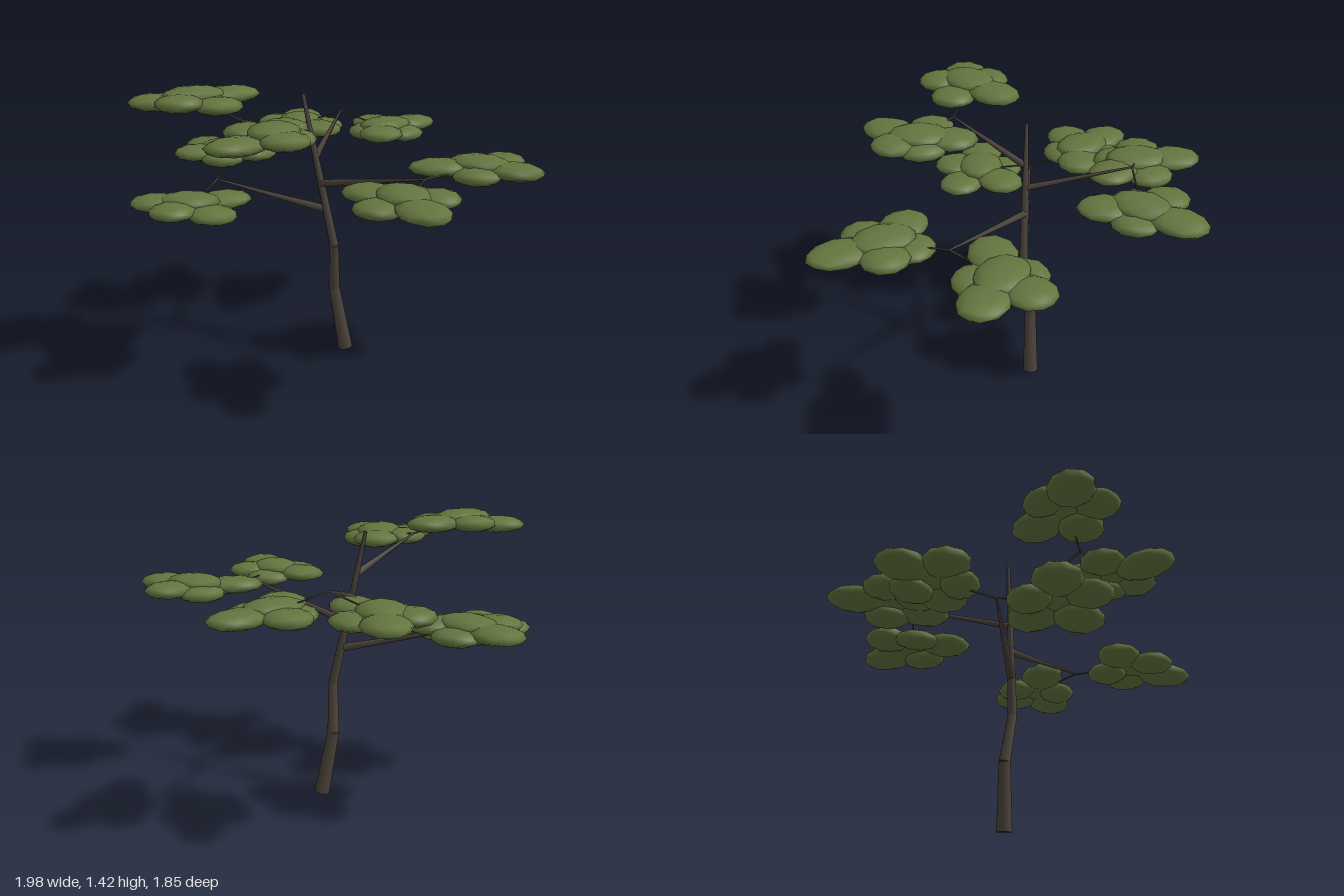
import * as THREE from 'three';

const bark = new THREE.MeshStandardMaterial({ color: 0x4b423a });
const leaf = new THREE.MeshStandardMaterial({ color: 0x64753f });
const clump = new THREE.IcosahedronGeometry(1, 1);
const UP = new THREE.Vector3(0, 1, 0);

// Tapered round limb between two points
function limb(name, a, b, r0, r1, sides = 8) {
  const from = new THREE.Vector3(...a), dir = new THREE.Vector3(...b).sub(from);
  const mesh = new THREE.Mesh(new THREE.CylinderGeometry(r1, r0, dir.length(), sides), bark);
  mesh.name = name;
  mesh.position.copy(from).addScaledVector(dir, 0.5);
  mesh.quaternion.setFromUnitVectors(UP, dir.normalize());
  return mesh;
}

// Squashed leaf clump, its long axis along the given heading
function leafClump(x, y, z, length, width, heading) {
  const mesh = new THREE.Mesh(clump, leaf);
  mesh.name = 'leafClump';
  mesh.position.set(x, y, z);
  mesh.rotation.y = -heading;
  mesh.scale.set(length, 0.041, width);
  return mesh;
}

// Flat foliage pad: a top clump and a ring of five lobes, each with its own reach
function foliagePad([x, y, z], firstAngle, reaches) {
  const pad = new THREE.Group();
  pad.name = 'foliagePad';
  const start = THREE.MathUtils.degToRad(firstAngle);
  pad.add(leafClump(x, y + 0.022, z, 0.155, 0.12, start));
  reaches.forEach((reach, i) => {
    const a = start + (i * Math.PI * 2) / 5, d = reach * 0.56;
    const lift = i % 2 ? -0.014 : 0.005;
    pad.add(leafClump(x + d * Math.cos(a), y + lift, z + d * Math.sin(a), reach * 0.44, 0.115, a));
  });
  return pad;
}

// Bough: a branch that forks into twigs, each carrying a pad [centre, first lobe angle, lobe reaches]
function bough(root, fork, radius, ...pads) {
  const group = new THREE.Group();
  group.name = 'bough';
  group.add(limb('branch', root, fork, radius, 0.005, 6));
  for (const [centre, angle, reaches] of pads) {
    group.add(limb('twig', fork, centre, 0.005, 0.003, 5));
    group.add(foliagePad(centre, angle, reaches));
  }
  return group;
}

export function createModel() {
  const tree = new THREE.Group();
  tree.name = 'tree';

  // Bent trunk: centre point and radius at each kink
  const trunk = [
    [[0.028, 0.005, -0.072], 0.038],
    [[-0.03, 0.335, -0.07], 0.029],
    [[-0.025, 0.58, -0.033], 0.023],
    [[-0.095, 0.92, -0.04], 0.018],
    [[-0.18, 1.345, -0.05], 0.009],
  ];
  for (let i = 1; i < trunk.length; i++) {
    tree.add(limb('trunk', trunk[i - 1][0], trunk[i][0], trunk[i - 1][1], trunk[i][1]));
  }

  // Lowest bough, to the right
  tree.add(bough([-0.08, 0.77, -0.04], [-0.63, 0.89, -0.08], 0.02,
    [[-0.66, 0.97, -0.36], -135, [0.31, 0.22, 0.29, 0.21, 0.27]],
    [[-0.7, 0.83, 0.19], 180, [0.3, 0.23, 0.32, 0.3, 0.26]]));
  // Second bough, to the left
  tree.add(bough([-0.09, 0.9, -0.04], [0.44, 1.03, 0.3], 0.02,
    [[0.68, 1.035, 0.07], 24, [0.32, 0.22, 0.34, 0.22, 0.28]],
    [[0.36, 1.015, 0.6], 63, [0.36, 0.25, 0.3, 0.24, 0.25]]));
  // Third bough, to the back
  tree.add(bough([-0.12, 1.03, -0.05], [-0.06, 1.17, -0.55], 0.018,
    [[-0.29, 1.08, -0.6], -98, [0.33, 0.24, 0.31, 0.22, 0.24]],
    [[0.18, 1.075, -0.57], -51, [0.35, 0.21, 0.3, 0.2, 0.27]]));
  // Top bough, to the front right
  tree.add(bough([-0.14, 1.14, -0.04], [-0.4, 1.28, 0.31], 0.018,
    [[-0.64, 1.357, 0.24], -43, [0.34, 0.27, 0.26, 0.31, 0.21]],
    [[-0.22, 1.245, 0.47], -86, [0.29, 0.19, 0.25, 0.36, 0.25]]));
  return tree;
}
